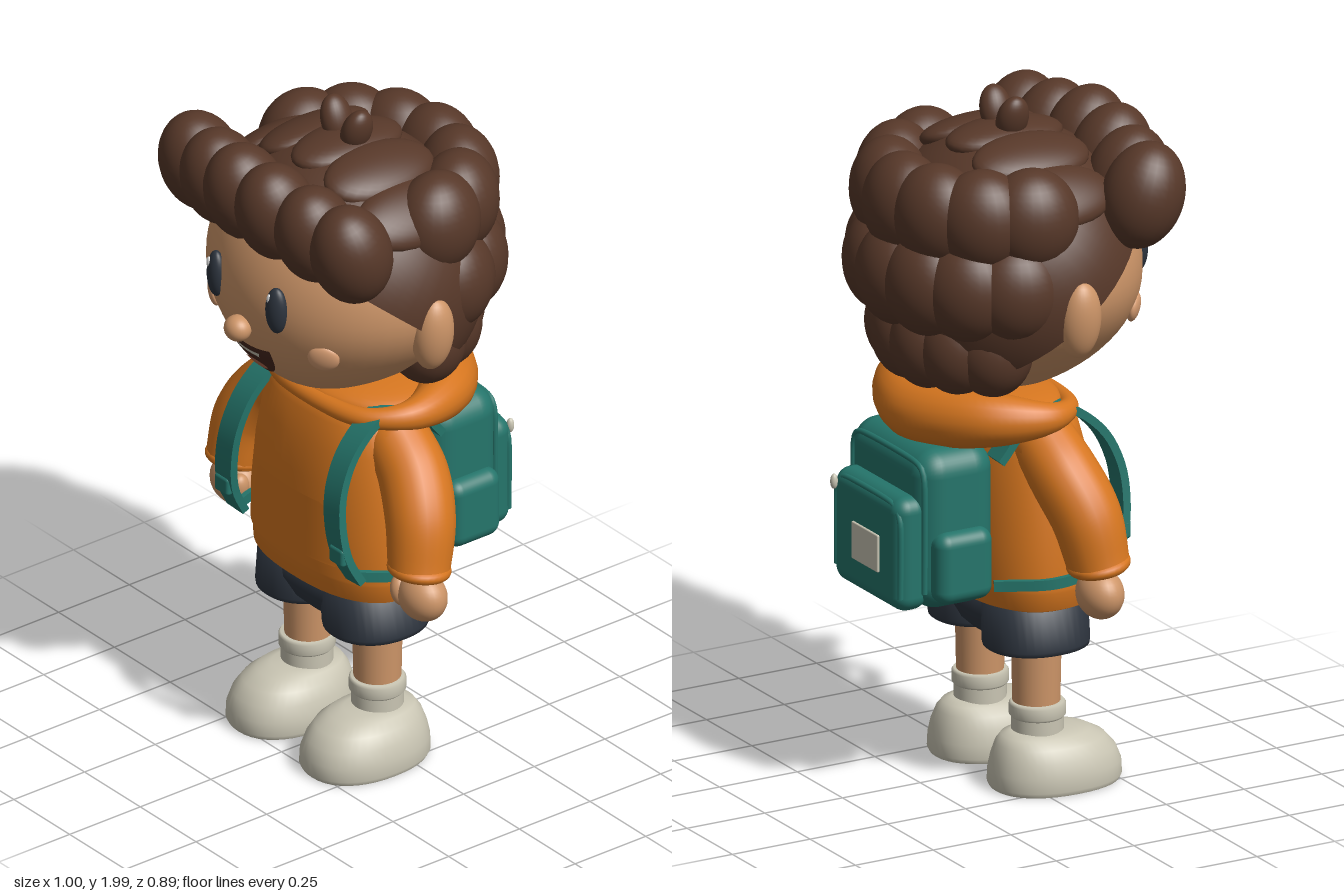
import * as THREE from 'three';
import { RoundedBoxGeometry } from 'three/addons/geometries/RoundedBoxGeometry.js';

const V = (x, y, z) => new THREE.Vector3(x, y, z);
const mat = (name, color, side = THREE.FrontSide) => {
  const m = new THREE.MeshStandardMaterial({ color, side });
  m.name = name;
  return m;
};

export function createModel() {
  const root = new THREE.Group();
  root.name = 'boyWithBackpack';
  const skin = mat('skin', 0xcd9568), blush = mat('blush', 0xd79d72), hair = mat('hairBrown', 0x573829);
  const orange = mat('hoodieOrange', 0xd6761f, THREE.DoubleSide), teal = mat('bagTeal', 0x25756b);
  const navy = mat('navy', 0x2d343e), cream = mat('cream', 0xc9c5b3, THREE.DoubleSide);
  const white = mat('eyeShine', 0xe8e8e8);
  const mouthDark = mat('mouthBrown', 0x47271d, THREE.DoubleSide), tongueMat = mat('tongue', 0xb0694c, THREE.DoubleSide);

  const add = (name, geo, m) => {
    const mesh = new THREE.Mesh(geo, m);
    mesh.name = name;
    root.add(mesh);
    return mesh;
  };
  const ball = (name, m, pos, scale, rot = [0, 0, 0]) => {
    const b = add(name, new THREE.SphereGeometry(1, 28, 20), m);
    b.position.set(...pos); b.scale.set(...scale); b.rotation.set(...rot);
    return b;
  };
  const rbox = (name, m, pos, [w, h, d], r) => {
    const b = add(name, new RoundedBoxGeometry(w, h, d, 5, r), m);
    b.position.set(...pos);
    return b;
  };

  // Stacked superellipse rings [y, rx, rz, cx, cz]; a repeated ring makes a sharp edge
  const loft = (rings, p = 2, n = 40) => {
    const pos = [], idx = [];
    const pw = c => Math.sign(c) * Math.abs(c) ** (2 / p);
    rings.forEach(([y, rx, rz, cx = 0, cz = 0.035], j) => {
      for (let i = 0; i < n; i++) {
        const a = i / n * Math.PI * 2;
        pos.push(cx + rx * pw(Math.sin(a)), y, cz + rz * pw(Math.cos(a)));
        if (j < rings.length - 1) {
          const q = j * n + i, r = j * n + (i + 1) % n;
          idx.push(q, r, q + n, r, r + n, q + n);
        }
      }
    });
    const g = new THREE.BufferGeometry();
    g.setAttribute('position', new THREE.Float32BufferAttribute(pos, 3));
    g.setIndex(idx);
    g.computeVertexNormals();
    return g;
  };

  // Tube whose radius follows a rule of (t, point)
  const taperTube = (pts, radius, closed = false, N = 40, R = 20) => {
    const curve = new THREE.CatmullRomCurve3(pts, closed);
    const g = new THREE.TubeGeometry(curve, N, 1, R, closed), a = g.attributes.position, v = V(0, 0, 0);
    for (let i = 0; i < a.count; i++) {
      const t = Math.floor(i / (R + 1)) / N, P = curve.getPointAt(closed ? t % 1 : t);
      v.fromBufferAttribute(a, i).sub(P).multiplyScalar(radius(t, P)).add(P);
      a.setXYZ(i, v.x, v.y, v.z);
    }
    return g;
  };

  // Flat strap bent along a curve
  const ribbon = (pts, w, th, side) => {
    const curve = new THREE.CatmullRomCurve3(pts), g = new THREE.BoxGeometry(1, 1, 1, 1, 1, 30), a = g.attributes.position;
    for (let i = 0; i < a.count; i++) {
      const t = a.getZ(i) + 0.5, P = curve.getPointAt(t), T = curve.getTangentAt(t);
      const S = side.clone().addScaledVector(T, -side.dot(T)).normalize(), N = T.clone().cross(S);
      P.addScaledVector(S, a.getX(i) * w).addScaledVector(N, a.getY(i) * th);
      a.setXYZ(i, P.x, P.y, P.z);
    }
    g.computeVertexNormals();
    return g;
  };

  // Thin patch of varying half width laid over a surface z = f(x, y)
  const drape = (half, y0, y1, f, lift, sag = 0) => {
    const g = new THREE.PlaneGeometry(2, 1, 24, 24), a = g.attributes.position;
    for (let i = 0; i < a.count; i++) {
      const u = a.getX(i), t = a.getY(i) + 0.5, x = u * half(t);
      const y = y0 + (y1 - y0) * t - sag * t * (1 - u * u);
      a.setXYZ(i, x, y, f(x, y) + lift);
    }
    g.computeVertexNormals();
    return g;
  };

  // Head, narrowing toward the chin
  const chin = y => 1 - 0.4 * Math.max(0, (1.5 - y) / 0.37) ** 2;
  const faceZ = (x, y) => 0.03 + 0.365 * Math.sqrt(Math.max(0, 1 - ((y - 1.5) / 0.37) ** 2 - (x / (0.41 * chin(y))) ** 2));
  const headGeo = new THREE.SphereGeometry(1, 48, 36).scale(0.41, 0.37, 0.365).translate(0, 1.5, 0.03);
  const hp = headGeo.attributes.position;
  for (let i = 0; i < hp.count; i++) hp.setX(i, hp.getX(i) * chin(hp.getY(i)));
  headGeo.computeVertexNormals();
  add('head', headGeo, skin);
  ball('nose', skin, [0, 1.415, 0.405], [0.041, 0.038, 0.038]);
  for (const s of [-1, 1]) {
    ball('ear', skin, [s * 0.4, 1.445, 0.03], [0.054, 0.115, 0.062], [0, 0, -s * 0.1]);
    ball('eye', navy, [s * 0.135, 1.52, faceZ(0.135, 1.52)], [0.034, 0.071, 0.026], [0, s * 0.3, 0]);
    ball('eyeShine', white, [s * 0.135 - 0.011, 1.555, faceZ(0.135, 1.55) + 0.02], [0.009, 0.018, 0.007]);
    ball('cheek', blush, [s * 0.245, 1.388, faceZ(0.245, 1.388)], [0.046, 0.042, 0.018], [0.25, s * 0.65, 0]);
  }
  // Open smiling mouth
  add('mouth', drape(t => 0.095 * Math.sqrt(1 - (1 - t) ** 2.2), 1.252, 1.368, faceZ, 0.009, 0.012), mouthDark);
  add('teeth', drape(t => 0.042 + 0.008 * t, 1.325, 1.342, faceZ, 0.013, 0.004), cream);
  add('tongue', drape(t => 0.045 * Math.sqrt(1 - (2 * t - 1) ** 2), 1.268, 1.3, faceZ, 0.013), tongueMat);

  // Hair cap tilted back, then clustered curls
  add('hairCap', new THREE.SphereGeometry(1, 48, 28, 0, Math.PI * 2, 0, 1.7).rotateX(-0.67)
    .scale(0.425, 0.4, 0.385).translate(0, 1.5, 0.03), hair);
  for (const [x, y, z, w, h] of [[-0.34, 1.752, 0.268, 0.115, 0.155], [-0.22, 1.762, 0.288, 0.112, 0.152],
    [-0.085, 1.782, 0.312, 0.112, 0.152], [0.065, 1.788, 0.32, 0.112, 0.152], [0.205, 1.768, 0.292, 0.112, 0.152],
    [0.335, 1.752, 0.268, 0.115, 0.155]])
    ball('fringeCurl', hair, [x, y, z], [w, h, 0.117], [0.3, x * 0.5, -x * 0.15]);
  for (const x of [-0.28, -0.145, 0, 0.145, 0.28])
    ball('topCurl', hair, [x, 1.467 + 0.4 * Math.sqrt(1 - (x / 0.425) ** 2), 0.02], [0.104, 0.05, 0.18], [0, 0, -x * 2.4]);
  // Rows: height, ring radii, curl radii, half sweep, sideways shift
  for (const [y, rx, rz, w, h, d, end, shift] of [[1.725, 0.305, 0.3, 0.135, 0.148, 0.115, 1.35, 0],
    [1.525, 0.325, 0.325, 0.135, 0.148, 0.112, 1.2, 0], [1.33, 0.255, 0.262, 0.115, 0.135, 0.112, 1.15, 0.15]])
    for (let k = -3; k <= 3; k++) {
      const a = k / 3 * end + shift;
      ball('backCurl', hair, [rx * Math.sin(a), y, -rz * Math.cos(a)], [w, h, d], [0, -a, 0]);
    }
  for (const s of [-1, 1]) ball('hairSprout', hair, [s * 0.045, 1.93, 0.02], [0.038, 0.072, 0.048], [0, 0, -s * 0.33]);

  // Hoodie body, pocket and hood
  add('hoodieBody', loft([[0.552, 0.001, 0.001], [0.552, 0.285, 0.165], [0.552, 0.285, 0.165], [0.56, 0.302, 0.178],
    [0.61, 0.306, 0.18], [0.62, 0.31, 0.186], [0.75, 0.305, 0.187], [0.9, 0.288, 0.18], [1.0, 0.272, 0.165],
    [1.08, 0.25, 0.145], [1.13, 0.19, 0.12], [1.15, 0.001, 0.001]], 2.4, 56), orange);
  const bellyZ = (x, y) => 0.035 + 0.187 * (1 - Math.abs(x / 0.306) ** 2.4) ** (1 / 2.4);
  add('frontPocket', drape(t => {
    const edge = Math.min(t, 1 - t, 0.12) / 0.12;
    return 0.2 - 0.05 * t - 0.02 * (1 - Math.sqrt(1 - (1 - edge) ** 2));
  }, 0.662, 0.852, bellyZ, 0.008), orange);
  add('hood', taperTube([V(0, 1.108, 0.145), V(0.2, 1.113, 0.11), V(0.278, 1.122, 0), V(0.22, 1.13, -0.16), V(0, 1.115, -0.265),
    V(-0.22, 1.13, -0.16), V(-0.278, 1.122, 0), V(-0.2, 1.113, 0.11)],
  (t, P) => 0.028 + 0.062 * THREE.MathUtils.smoothstep(0.14 - P.z, 0, 0.4), true, 80), orange);
  ball('hoodLining', orange, [0, 1.125, -0.05], [0.27, 0.05, 0.2]);

  for (const s of [-1, 1]) {
    // Sleeve, cuff and hand
    add('sleeve', taperTube([V(s * 0.23, 1.025, 0.02), V(s * 0.315, 0.955, 0.032), V(s * 0.382, 0.855, 0.06), V(s * 0.408, 0.72, 0.085)],
      t => 0.094 + 0.01 * Math.sin(t * Math.PI) - 0.006 * t), orange);
    ball('shoulder', orange, [s * 0.23, 1.025, 0.02], [0.094, 0.094, 0.094]);
    const cuff = add('cuff', new THREE.TorusGeometry(0.073, 0.018, 12, 32), orange);
    cuff.position.set(s * 0.408, 0.718, 0.085);
    cuff.rotation.x = Math.PI / 2 - 0.15;
    ball('cuffEnd', orange, [s * 0.408, 0.72, 0.085], [0.08, 0.022, 0.078]);
    ball('hand', skin, [s * 0.42, 0.635, 0.083], [0.081, 0.073, 0.064]);
    ball('thumb', skin, [s * 0.365, 0.64, 0.115], [0.028, 0.046, 0.032], [0, 0, s * 0.25]);

    // Shorts leg, leg, sock and shoe
    add('shortsLeg', loft([[0.43, 0.001, 0.001, s * 0.15], [0.43, 0.122, 0.138, s * 0.15], [0.418, 0.128, 0.143, s * 0.15],
      [0.418, 0.135, 0.149, s * 0.15], [0.43, 0.137, 0.151, s * 0.149], [0.57, 0.138, 0.148, s * 0.138], [0.57, 0.001, 0.001, s * 0.138]], 2.2), navy);
    const leg = add('leg', new THREE.CylinderGeometry(0.072, 0.066, 0.3, 28), skin);
    leg.position.set(s * 0.155, 0.34, 0.033);
    add('sock', loft([[0.14, 0.074, 0.074, s * 0.158], [0.205, 0.074, 0.074, s * 0.158], [0.205, 0.074, 0.074, s * 0.158],
      [0.212, 0.08, 0.08, s * 0.158], [0.242, 0.08, 0.08, s * 0.158], [0.25, 0.074, 0.074, s * 0.158], [0.25, 0.001, 0.001, s * 0.158]]), cream);
    add('shoe', loft([[0.006, 0.001, 0.001, s * 0.165, 0.085], [0.006, 0.138, 0.188, s * 0.165, 0.085], [0.006, 0.138, 0.188, s * 0.165, 0.085],
      [0.02, 0.145, 0.195, s * 0.165, 0.085], [0.06, 0.143, 0.193, s * 0.165, 0.085], [0.1, 0.132, 0.181, s * 0.165, 0.081],
      [0.135, 0.115, 0.16, s * 0.163, 0.072], [0.158, 0.092, 0.13, s * 0.162, 0.058], [0.168, 0.062, 0.095, s * 0.162, 0.05],
      [0.17, 0.001, 0.001, s * 0.162, 0.05]], 2.25), cream);

    // Shoulder strap, buckle, lower strap and side pouch
    add('shoulderStrap', ribbon([V(s * 0.21, 1.0, -0.13), V(s * 0.215, 1.11, -0.03), V(s * 0.218, 1.125, 0.08), V(s * 0.225, 1.05, 0.185),
      V(s * 0.233, 0.95, 0.238), V(s * 0.243, 0.85, 0.252), V(s * 0.256, 0.74, 0.238), V(s * 0.265, 0.655, 0.195)], 0.07, 0.024, V(1, 0, 0)), teal);
    rbox('strapBuckle', teal, [s * 0.257, 0.75, 0.246], [0.062, 0.055, 0.035], 0.01);
    add('lowerStrap', ribbon([V(s * 0.262, 0.665, 0.192), V(s * 0.3, 0.652, 0.11), V(s * 0.314, 0.645, 0), V(s * 0.235, 0.64, -0.15)],
      0.03, 0.016, V(0, 1, 0)), teal);
    rbox('sidePouch', teal, [s * 0.215, 0.715, -0.245], [0.09, 0.21, 0.18], 0.04);
  }
  add('shortsWaist', loft([[0.428, 0.001, 0.001], [0.428, 0.12, 0.1], [0.45, 0.2, 0.122], [0.5, 0.268, 0.144],
    [0.57, 0.275, 0.15], [0.57, 0.001, 0.001]], 2.4), navy);

  // Backpack with rear pocket, piping, patch and zip pull
  rbox('backpackBody', teal, [0, 0.815, -0.243], [0.44, 0.47, 0.245], 0.075);
  rbox('rearPocket', teal, [0, 0.752, -0.375], [0.375, 0.335, 0.108], 0.045);
  const piping = (name, w, y0, y1, z) => add(name, new THREE.TubeGeometry(new THREE.CatmullRomCurve3([
    V(-w, y0, z), V(-w, y1 - 0.05, z), V(-w + 0.05, y1, z), V(w - 0.05, y1, z), V(w, y1 - 0.05, z), V(w, y0, z)], false, 'catmullrom', 0.3),
  60, 0.009, 8), teal);
  piping('pocketPiping', 0.174, 0.63, 0.9, -0.415);
  piping('bodyPiping', 0.195, 0.64, 1.015, -0.35);
  rbox('patch', cream, [-0.01, 0.738, -0.432], [0.145, 0.11, 0.009], 0.004);
  ball('zipPull', cream, [0.158, 0.88, -0.435], [0.011, 0.022, 0.011]);

  return root;
}
